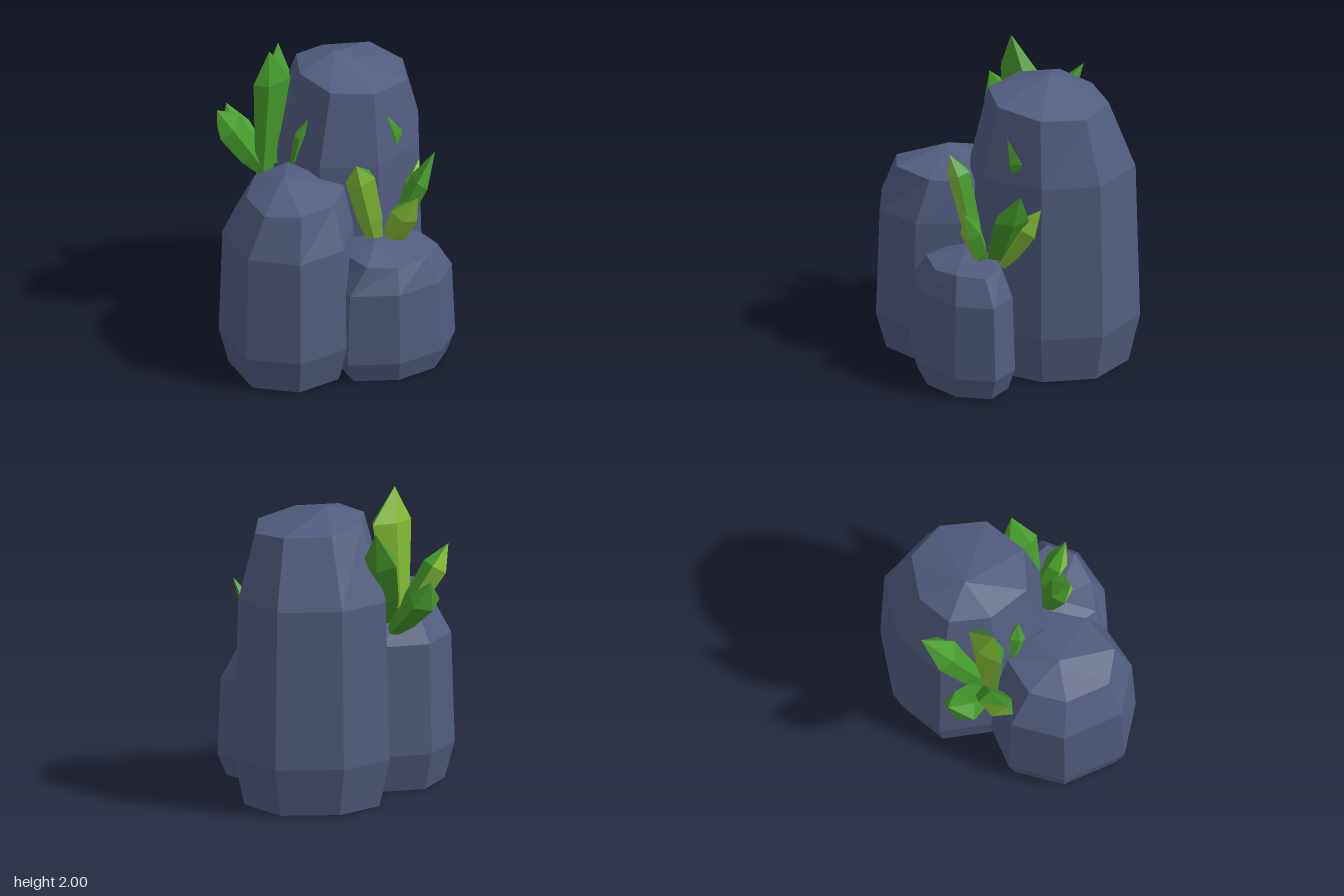
import * as THREE from 'three';

const stone = new THREE.MeshStandardMaterial({ color: 0x525c80 });
stone.name = 'slate stone';
const green = new THREE.MeshStandardMaterial({ color: 0x469a2c });
green.name = 'leaf green';
const lime = new THREE.MeshStandardMaterial({ color: 0x84bd36 });
lime.name = 'leaf lime';

const V = (a) => new THREE.Vector3(...a);

// Triangles closing a stack of equal-sized rings, from a bottom centre up to a tip
function loft(rings, bottom, tip) {
  const tris = [];
  const n = rings[0].length;
  for (let i = 0; i < n; i++) {
    const j = (i + 1) % n;
    tris.push([bottom, rings[0][j], rings[0][i]]);
    for (let k = 0; k + 1 < rings.length; k++) {
      const a = rings[k], b = rings[k + 1];
      tris.push([a[i], a[j], b[j]], [a[i], b[j], b[i]]);
    }
    const top = rings[rings.length - 1];
    tris.push([top[i], top[j], tip]);
  }
  return tris;
}

// Unshared corners give flat facets
function facets(tris) {
  const g = new THREE.BufferGeometry().setFromPoints(tris.flat());
  g.computeVertexNormals();
  return g;
}

// Faceted column: widest outline [x, z], top outline [x, y, z], and a peak
function rock(name, { centre: [cx, cz], wide, top, low, shoulder, foot, peak }) {
  const ring = (s, y) => wide.map(([x, z]) => new THREE.Vector3(cx + (x - cx) * s, y, cz + (z - cz) * s));
  const rings = [ring(foot, 0), ring(1, low), ring(0.95, shoulder), top.map(V)];
  const mesh = new THREE.Mesh(facets(loft(rings, new THREE.Vector3(cx, 0, cz), V(peak))), stone);
  mesh.name = name;
  return mesh;
}

// Pointed leaf, widest at `mid`; facets turned towards `face` are lime when `twoTone`
function leaf(name, { base, mid, tip, face, width, thick, twoTone = false, lower = 0.85 }) {
  const a = V(base), m = V(mid), b = V(tip);
  const axis = b.clone().sub(a).normalize();
  const side = axis.clone().cross(V(face)).normalize();
  const out = side.clone().cross(axis);
  const ring = (t, s) => Array.from({ length: 5 }, (_, i) => {
    const q = (i / 5) * Math.PI * 2;
    return a.clone().lerp(m, t)
      .addScaledVector(side, Math.sin(q) * width * s)
      .addScaledVector(out, Math.cos(q) * thick * s);
  });
  const tris = loft([ring(0, 0.45), ring(0.42, lower), ring(1, 1)], a, b);
  const isLime = ([p, q, r]) =>
    twoTone && q.clone().sub(p).cross(r.clone().sub(p)).normalize().dot(out) > 0.3;
  const limeTris = tris.filter(isLime);
  const greenTris = tris.filter((t) => !isLime(t));
  const g = facets([...greenTris, ...limeTris]);
  g.addGroup(0, greenTris.length * 3, 0);
  g.addGroup(greenTris.length * 3, limeTris.length * 3, 1);
  const mesh = new THREE.Mesh(g, [green, lime]);
  mesh.name = name;
  return mesh;
}

function cluster(name, leaves) {
  const group = new THREE.Group();
  group.name = name;
  leaves.forEach((l, i) => group.add(leaf(`${name}Leaf${i + 1}`, l)));
  return group;
}

export function createModel() {
  const model = new THREE.Group();
  model.name = 'rocksWithPlants';

  // Three stone columns
  model.add(rock('tallRock', {
    centre: [0.22, -0.22], low: 0.31, shoulder: 1.33, foot: 0.87, peak: [0.13, 1.9, -0.25],
    wide: [[0.27, 0.31], [0.62, 0.05], [0.73, -0.33], [0.52, -0.69],
      [0.09, -0.73], [-0.23, -0.52], [-0.28, -0.15], [-0.11, 0.22]],
    top: [[0.27, 1.8, 0.18], [0.53, 1.77, 0.01], [0.59, 1.75, -0.28], [0.44, 1.77, -0.51],
      [0.14, 1.78, -0.54], [-0.07, 1.82, -0.41], [-0.12, 1.83, -0.15], [0, 1.82, 0.12]],
  }));
  model.add(rock('middleRock', {
    centre: [-0.3, 0.24], low: 0.24, shoulder: 0.95, foot: 0.86, peak: [-0.34, 1.33, 0.23],
    wide: [[-0.37, 0.725], [-0.04, 0.62], [0.12, 0.3], [0.04, -0.04],
      [-0.22, -0.2], [-0.55, -0.16], [-0.74, 0.15], [-0.68, 0.56]],
    top: [[-0.33, 1.24, 0.6], [-0.08, 1.22, 0.49], [0.05, 1.21, 0.26], [0, 1.23, 0.02],
      [-0.22, 1.25, -0.07], [-0.46, 1.23, 0], [-0.58, 1.21, 0.21], [-0.54, 1.22, 0.5]],
  }));
  model.add(rock('smallRock', {
    centre: [0.31, 0.42], low: 0.14, shoulder: 0.63, foot: 0.86, peak: [0.22, 0.86, 0.38],
    wide: [[0.28, 0.725], [0.58, 0.63], [0.73, 0.42], [0.6, 0.22],
      [0.3, 0.13], [0.03, 0.2], [-0.08, 0.42], [-0.04, 0.65]],
    top: [[0.3, 0.78, 0.63], [0.5, 0.81, 0.58], [0.61, 0.8, 0.43], [0.53, 0.82, 0.28],
      [0.3, 0.83, 0.22], [0.1, 0.83, 0.25], [0.03, 0.8, 0.43], [0.1, 0.8, 0.6]],
  }));

  // Plant behind the middle rock
  model.add(cluster('backPlant', [
    { base: [-0.33, 1.1, -0.22], mid: [-0.275, 1.78, -0.22], tip: [-0.31, 2, -0.19],
      face: [-0.5, 0, -1], width: 0.155, thick: 0.075, twoTone: true, lower: 0.7 },
    { base: [-0.34, 1.13, -0.24], mid: [-0.565, 1.48, -0.24], tip: [-0.65, 1.62, -0.2],
      face: [-0.6, -0.6, -0.6], width: 0.125, thick: 0.08, twoTone: true },
    { base: [-0.3, 1.08, -0.25], mid: [-0.46, 1.32, -0.45], tip: [-0.49, 1.46, -0.54],
      face: [-0.5, -0.8, -0.5], width: 0.125, thick: 0.09 },
    { base: [-0.26, 1.15, -0.24], mid: [-0.175, 1.58, -0.47], tip: [-0.13, 1.8, -0.61],
      face: [0.4, -0.4, -1], width: 0.12, thick: 0.09 },
    { base: [-0.2, 1.2, -0.06], mid: [-0.165, 1.48, 0], tip: [-0.12, 1.6, 0.03],
      face: [1, 0, 0.6], width: 0.06, thick: 0.035 },
  ]));

  // Plant on the small rock
  model.add(cluster('frontPlant', [
    { base: [0.25, 0.78, 0.3], mid: [0.12, 1.33, 0.38], tip: [0.08, 1.45, 0.43],
      face: [-0.3, 0, 1], width: 0.1, thick: 0.075, twoTone: true },
    { base: [0.34, 0.78, 0.31], mid: [0.395, 1.05, 0.43], tip: [0.46, 1.2, 0.51],
      face: [-0.5, -0.4, 1], width: 0.095, thick: 0.07, twoTone: true },
    { base: [0.36, 0.76, 0.24], mid: [0.56, 1.15, 0.23], tip: [0.66, 1.34, 0.21],
      face: [1, -0.5, 0.1], width: 0.125, thick: 0.055 },
    { base: [0.4, 0.78, 0.22], mid: [0.54, 1.06, 0.11], tip: [0.605, 1.2, 0.04],
      face: [0.4, -0.4, 1], width: 0.085, thick: 0.06, twoTone: true },
    { base: [0.44, 1.1, 0.1], mid: [0.4, 1.46, 0.12], tip: [0.36, 1.62, 0.16],
      face: [0.3, 0, 1], width: 0.075, thick: 0.05, lower: 0.6 },
  ]));

  return model;
}
